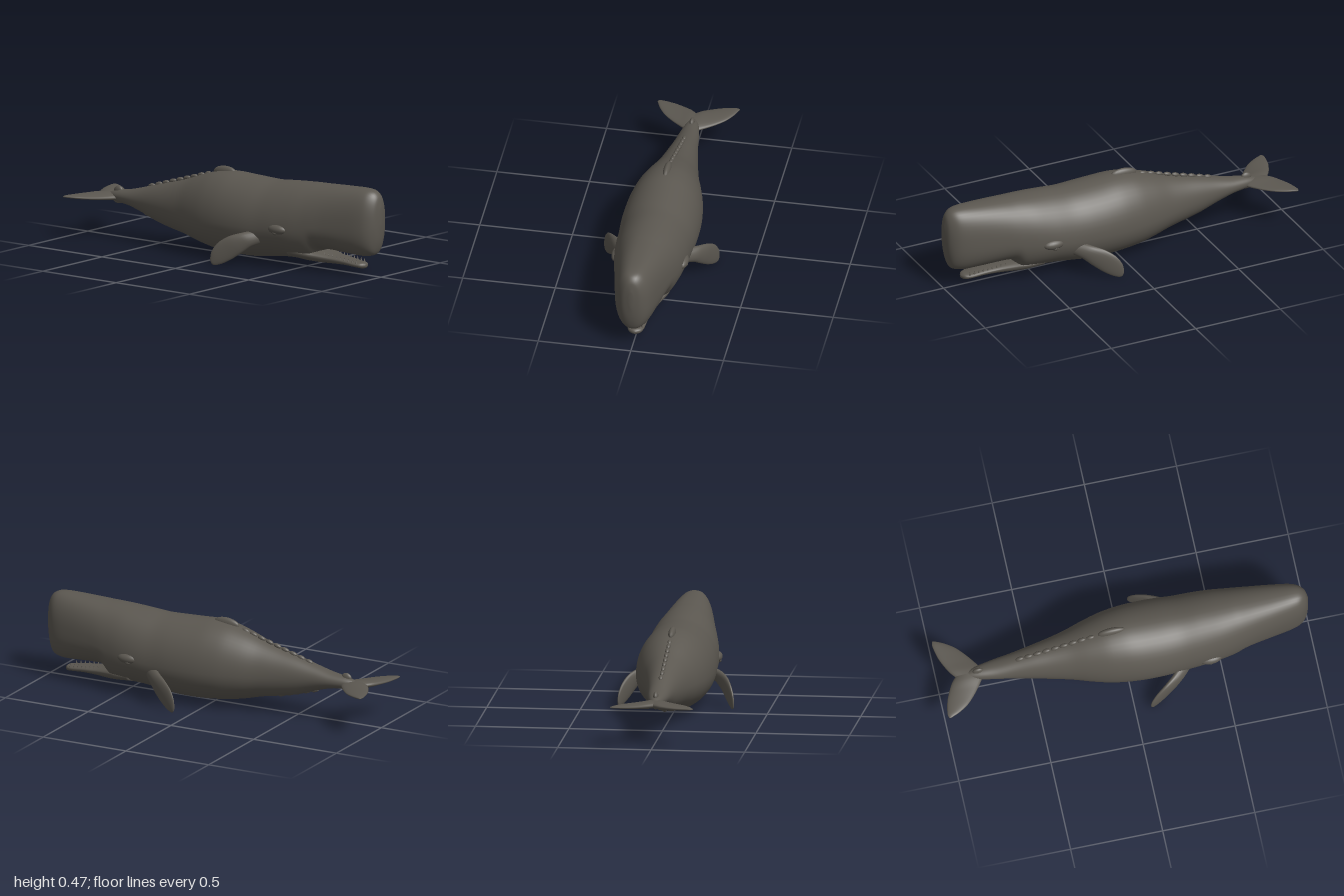
import * as THREE from 'three';

const skin = new THREE.MeshStandardMaterial({ color: 0x5b5750 });
skin.name = 'grey skin';

// Spline through rows of numbers, n steps per span
function smoothRows(rows, n) {
  const out = [], last = rows.length - 1;
  for (let i = 0; i < last; i++) {
    const [a, b, c, d] = [rows[Math.max(i - 1, 0)], rows[i], rows[i + 1], rows[Math.min(i + 2, last)]];
    for (let s = 0; s < n; s++) {
      const t = s / n;
      out.push(b.map((v, k) => {
        const m0 = (c[k] - a[k]) * 0.45, m1 = (d[k] - v) * 0.45;
        return (2 * t ** 3 - 3 * t * t + 1) * v + (t ** 3 - 2 * t * t + t) * m0
          + (3 * t * t - 2 * t ** 3) * c[k] + (t ** 3 - t * t) * m1;
      }));
    }
  }
  out.push(rows[last].slice());
  return out;
}

// Closed skin over a list of rings, with end caps, always facing outwards
function loft(rings) {
  const m = rings[0].length, pts = rings.flat(), idx = [];
  for (let i = 0; i < rings.length - 1; i++) {
    for (let j = 0; j < m; j++) {
      const a = i * m + j, b = i * m + (j + 1) % m;
      idx.push(a, a + m, b, b, a + m, b + m);
    }
  }
  const ends = [[0, false], [rings.length - 1, true]];
  for (const [r, flip] of ends) {
    const centre = new THREE.Vector3();
    rings[r].forEach(p => centre.addScaledVector(p, 1 / m));
    const c = pts.push(centre) - 1;
    for (let j = 0; j < m; j++) {
      const a = r * m + j, b = r * m + (j + 1) % m;
      idx.push(c, flip ? b : a, flip ? a : b);
    }
  }
  // Cap winding and skin winding agree, so one signed volume decides both
  let volume = 0;
  const x = new THREE.Vector3();
  for (let i = 0; i < idx.length; i += 3) {
    volume += x.crossVectors(pts[idx[i + 1]], pts[idx[i + 2]]).dot(pts[idx[i]]);
  }
  if (volume < 0) idx.reverse();
  const g = new THREE.BufferGeometry().setFromPoints(pts);
  g.setIndex(idx);
  g.computeVertexNormals();
  return g;
}

const power = (v, p) => Math.sign(v) * Math.abs(v) ** (2 / p);

// Rings across x from rows: x, top, bottom, half width, widest height, squareness
function bodyLoft(rows, steps, sides) {
  return loft(smoothRows(rows, steps).map(([x, top, bottom, w, cy, p]) =>
    Array.from({ length: sides }, (_, j) => {
      const a = j / sides * Math.PI * 2, s = power(Math.sin(a), p);
      return new THREE.Vector3(x, cy + s * (s > 0 ? top - cy : cy - bottom), power(Math.cos(a), p) * w);
    })));
}

// Thin blade from rows: centre x, y, z, half chord, half thickness
function bladeLoft(rows, chord, normal) {
  return loft(smoothRows(rows, 5).map(([x, y, z, c, t]) =>
    Array.from({ length: 20 }, (_, j) => {
      const a = j / 20 * Math.PI * 2;
      return new THREE.Vector3(x, y, z)
        .addScaledVector(chord, Math.cos(a) * c)
        .addScaledVector(normal, Math.sin(a) * t);
    })));
}

export function createModel() {
  const whale = new THREE.Group();
  whale.name = 'whale';
  const add = (name, geometry) => {
    const mesh = new THREE.Mesh(geometry, skin);
    mesh.name = name;
    whale.add(mesh);
    return mesh;
  };
  const bump = (name, x, y, z, rx, ry, rz, tilt = 0) => {
    const mesh = add(name, new THREE.SphereGeometry(1, 20, 14));
    mesh.position.set(x, y, z);
    mesh.scale.set(rx, ry, rz);
    mesh.rotation.z = tilt;
    return mesh;
  };

  // Body with blunt head, stepping up to the roof of the mouth
  add('body', bodyLoft([
    [-0.86, 0.225, 0.2, 0.012, 0.213, 2],
    [-0.8, 0.245, 0.185, 0.035, 0.215, 2],
    [-0.7, 0.262, 0.172, 0.054, 0.217, 2],
    [-0.6, 0.288, 0.142, 0.068, 0.215, 2],
    [-0.5, 0.316, 0.108, 0.086, 0.21, 2],
    [-0.4, 0.342, 0.086, 0.106, 0.205, 2],
    [-0.3, 0.372, 0.068, 0.13, 0.2, 2],
    [-0.2, 0.408, 0.043, 0.161, 0.2, 2],
    [-0.1, 0.437, 0.024, 0.187, 0.2, 2],
    [0, 0.448, 0.014, 0.202, 0.2, 2],
    [0.1, 0.444, 0.01, 0.208, 0.2, 2],
    [0.2, 0.44, 0.013, 0.207, 0.2, 2],
    [0.3, 0.438, 0.026, 0.2, 0.2, 2],
    [0.4, 0.446, 0.037, 0.195, 0.21, 2],
    [0.5, 0.452, 0.04, 0.183, 0.22, 2.1],
    [0.58, 0.456, 0.048, 0.168, 0.23, 2.15],
    [0.63, 0.457, 0.106, 0.158, 0.24, 2.2],
    [0.7, 0.46, 0.111, 0.143, 0.25, 2.3],
    [0.8, 0.464, 0.105, 0.124, 0.26, 2.4],
    [0.89, 0.467, 0.1, 0.106, 0.27, 2.4],
    [0.94, 0.463, 0.106, 0.09, 0.28, 2.4],
    [0.97, 0.45, 0.124, 0.07, 0.29, 2.3],
    [0.99, 0.422, 0.19, 0.045, 0.31, 2.2],
    [1, 0.37, 0.28, 0.01, 0.33, 2],
  ], 4, 48));

  // Narrow open lower jaw
  add('lowerJaw', bodyLoft([
    [0.46, 0.13, 0.045, 0.13, 0.09, 2],
    [0.55, 0.115, 0.037, 0.125, 0.085, 2],
    [0.62, 0.1, 0.034, 0.095, 0.075, 2.2],
    [0.7, 0.083, 0.036, 0.066, 0.065, 2.3],
    [0.78, 0.074, 0.037, 0.053, 0.058, 2.3],
    [0.85, 0.065, 0.033, 0.046, 0.05, 2.3],
    [0.885, 0.062, 0.03, 0.033, 0.047, 2.2],
    [0.9, 0.052, 0.038, 0.008, 0.046, 2],
  ], 4, 28));

  // Small teeth along the jaw
  for (const side of [-1, 1]) {
    for (let i = 0; i < 9; i++) {
      const x = 0.66 + i * 0.025;
      const tooth = add('tooth', new THREE.ConeGeometry(0.006, 0.024, 7));
      tooth.position.set(x, 0.085 - i * 0.0022, side * (0.054 - i * 0.0025));
    }
  }

  // Dorsal hump and the row of knuckles behind it
  bump('dorsalHump', -0.065, 0.435, 0, 0.075, 0.032, 0.02, 0.06);
  for (let i = 0; i < 9; i++) {
    const x = -0.18 - i * 0.048;
    bump('backKnuckle', x, 0.407 + (x + 0.2) * 0.3 - (i === 0 ? 0.002 : 0), 0, 0.023, 0.012, 0.012, 0.3);
  }
  for (let i = 0; i < 5; i++) {
    bump('bellyKnuckle', -0.4 - i * 0.05, 0.088 + i * 0.0135, 0, 0.024, 0.009, 0.012, -0.3);
  }

  // Raised ridges where the tail meets the flukes
  bump('tailRidge', -0.79, 0.243, 0, 0.03, 0.026, 0.014, 0.2);
  bump('tailKeel', -0.79, 0.192, 0, 0.035, 0.018, 0.014);

  for (const side of [-1, 1]) {
    const label = side < 0 ? 'left' : 'right';

    // Eye swelling with a small eye below the brow
    bump(label + 'Brow', 0.435, 0.212, side * 0.178, 0.06, 0.028, 0.03);
    bump(label + 'Eye', 0.43, 0.193, side * 0.192, 0.018, 0.011, 0.012);

    // Paddle flipper swept back, out and down
    const chord = new THREE.Vector3(-0.6, 0.76, side * 0.25).normalize();
    const span = new THREE.Vector3(-0.2, -0.16, side * 0.12);
    const normal = new THREE.Vector3().crossVectors(span, chord).normalize();
    add(label + 'Flipper', bladeLoft([
      [0.3, 0.155, side * 0.165, 0.042, 0.028],
      [0.255, 0.14, side * 0.212, 0.046, 0.023],
      [0.205, 0.112, side * 0.248, 0.056, 0.018],
      [0.155, 0.075, side * 0.275, 0.057, 0.014],
      [0.118, 0.04, side * 0.294, 0.044, 0.01],
      [0.097, 0.013, side * 0.304, 0.022, 0.006],
      [0.092, 0.003, side * 0.306, 0.004, 0.002],
    ], chord, normal));

    // Tail fluke with a swept tip and a centre notch
    add(label + 'Fluke', bladeLoft([
      [-0.84, 0.212, side * -0.004, 0.07, 0.02],
      [-0.855, 0.212, side * 0.03, 0.083, 0.02],
      [-0.882, 0.212, side * 0.075, 0.08, 0.016],
      [-0.909, 0.213, side * 0.12, 0.072, 0.013],
      [-0.936, 0.215, side * 0.165, 0.056, 0.01],
      [-0.965, 0.217, side * 0.2, 0.032, 0.007],
      [-0.987, 0.218, side * 0.221, 0.005, 0.003],
    ], new THREE.Vector3(1, -0.05, 0), new THREE.Vector3(0, 1, 0)));
  }
  return whale;
}
